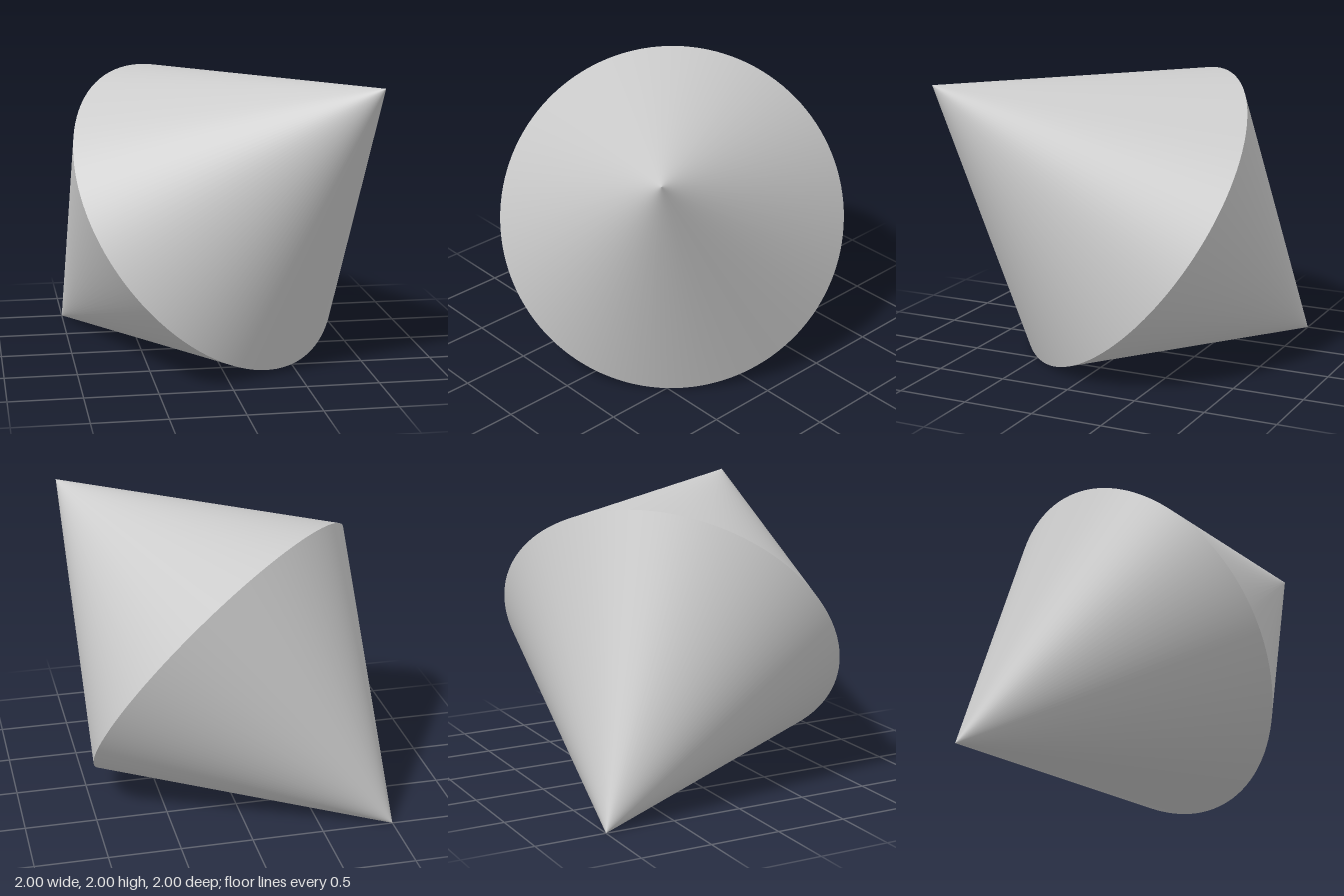
import * as THREE from 'three';

// Two equal cones joined base to base, standing along a cube's diagonal
export function createModel() {
  const group = new THREE.Group();
  group.name = 'doubleCone';
  const material = new THREE.MeshStandardMaterial({ color: 0xcccccc });

  const height = Math.sqrt(3);     // centre to corner of a 2-unit cube
  const radius = Math.sqrt(1.5);   // rim touches all six cube faces
  const axis = new THREE.Vector3(1, 1, 1).normalize();
  const up = new THREE.Vector3(0, 1, 0);

  for (const [name, sign] of [['upperCone', 1], ['lowerCone', -1]]) {
    const geometry = new THREE.ConeGeometry(radius, height, 128, 1, true);
    geometry.translate(0, height / 2, 0);
    // the lower cone is the upper one turned half a turn about x
    if (sign < 0) geometry.rotateX(Math.PI);
    const cone = new THREE.Mesh(geometry, material);
    cone.name = name;
    cone.quaternion.setFromUnitVectors(up, axis);
    cone.position.y = 1;
    group.add(cone);
  }
  return group;
}
